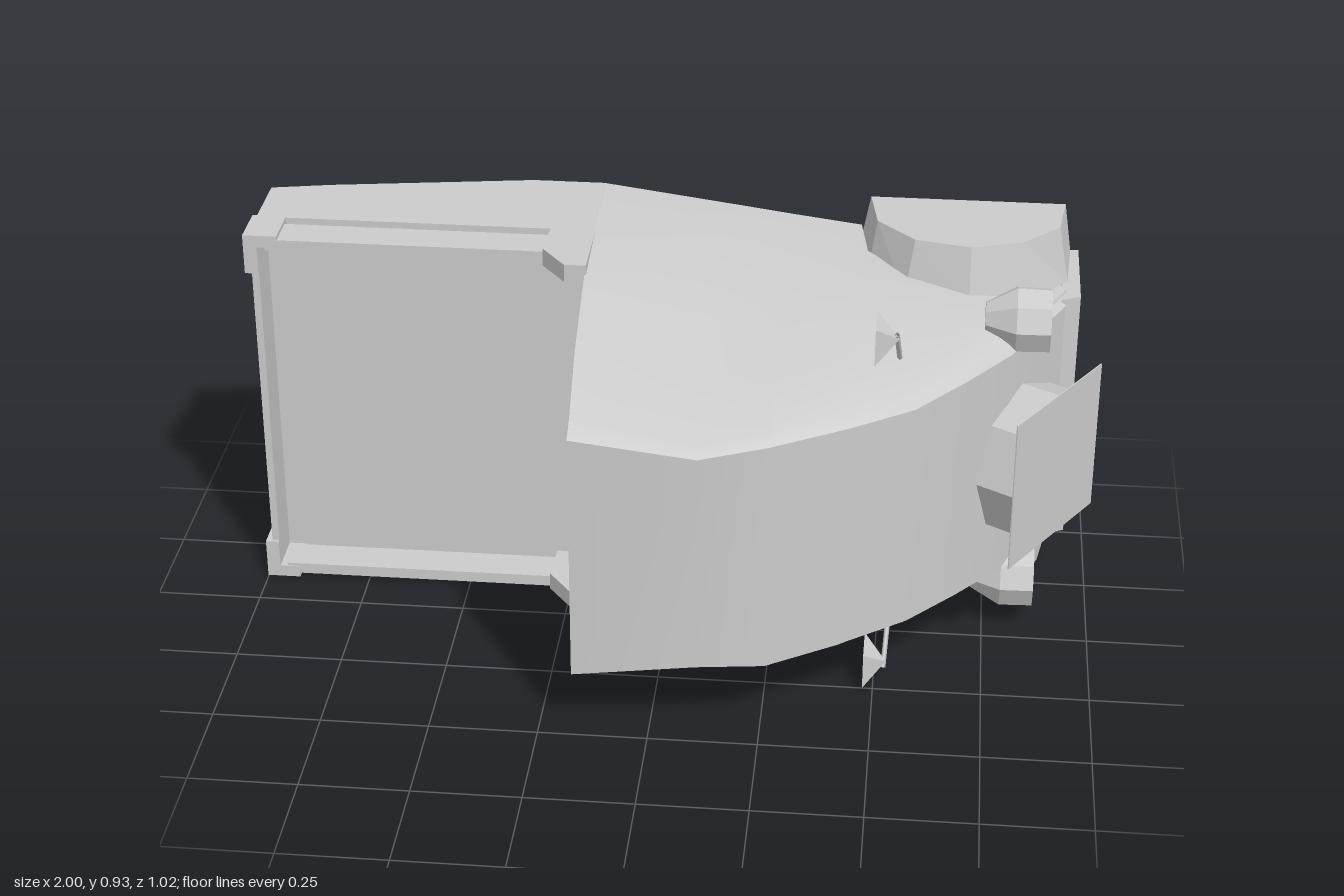
import * as THREE from 'three';
import { toCreasedNormals } from 'three/addons/utils/BufferGeometryUtils.js';

// The vehicle lies on its side: nose toward +x, roof toward +z, width along y.
const C = 0.4665;
const grey = new THREE.MeshStandardMaterial({ color: 0xcccccc, side: THREE.DoubleSide });

function add(parent, name, geometry) {
  const mesh = new THREE.Mesh(geometry, grey);
  mesh.name = name;
  parent.add(mesh);
  return mesh;
}

function box(x0, x1, y0, y1, z0, z1) {
  return new THREE.BoxGeometry(x1 - x0, y1 - y0, z1 - z0)
    .translate((x0 + x1) / 2, (y0 + y1) / 2, (z0 + z1) / 2);
}

// Side profile in x, z extruded across the width
function slab(points, y0, y1) {
  const shape = new THREE.Shape(points.map(p => new THREE.Vector2(p[0], p[1])));
  return new THREE.ExtrudeGeometry(shape, { depth: y1 - y0, bevelEnabled: false })
    .rotateX(Math.PI / 2).translate(0, y1, 0);
}

function fromTriangles(positions, crease) {
  const g = new THREE.BufferGeometry();
  g.setAttribute('position', new THREE.Float32BufferAttribute(positions, 3));
  g.computeVertexNormals();
  return crease ? toCreasedNormals(g, crease) : g;
}

// Cab cross-sections joined along x: [x, z] lists of half-width points
function cabGeometry() {
  const halves = [[
    [-0.2, 0.46, -0.475], [-0.2, 0.46, -0.18], [-0.19, 0.425, 0.06],
    [-0.183, 0.38, 0.25], [-0.17, 0.325, 0.46], [-0.17, 0.3, 0.505],
  ]];
  // x, bottom z, top z, belt half-width, top half-width
  const stations = [
    [0.11, -0.472, 0.502, 0.42, 0.265], [0.26, -0.471, 0.46, 0.4, 0.28],
    [0.42, -0.47, 0.36, 0.38, 0.278], [0.44, -0.33, 0.345, 0.378, 0.277],
    [0.57, -0.22, 0.25, 0.362, 0.275], [0.68, -0.2, 0.12, 0.345, 0.28],
    [0.78, -0.22, -0.01, 0.332, 0.285], [0.84, -0.26, -0.12, 0.323, 0.292],
    [0.905, -0.34, -0.24, 0.315, 0.3],
  ];
  for (const [x, zb, zt, w, wt] of stations) {
    const belt = Math.min(Math.max(-0.18, zb + 0.01), zt - 0.04);
    const shoulder = zt - 0.03, ws = wt + 0.018;
    const mid = t => [x, THREE.MathUtils.lerp(w, ws, t) + 0.008,
      THREE.MathUtils.lerp(belt, shoulder, t)];
    halves.push([[x, w, zb], [x, w, belt], mid(0.37), mid(0.67), [x, ws, shoulder], [x, wt, zt]]);
  }
  const rings = halves.map(h => [
    ...h.map(([x, w, z]) => [x, C + w, z]),
    ...h.slice().reverse().map(([x, w, z]) => [x, C - w, z]),
  ]);
  const out = [], n = rings[0].length, last = rings.length - 1;
  const tri = (...p) => p.forEach(v => out.push(...v));
  for (let s = 0; s < last; s++) {
    for (let i = 0; i < n; i++) {
      const j = (i + 1) % n;
      const a = rings[s][i], b = rings[s][j], c = rings[s + 1][i], d = rings[s + 1][j];
      tri(a, b, c);
      tri(b, d, c);
    }
  }
  const rear = [-0.195, C, -0.1], front = [0.905, C, -0.29];
  for (let i = 0; i < n; i++) {
    const j = (i + 1) % n;
    tri(rear, rings[0][j], rings[0][i]);
    tri(front, rings[last][i], rings[last][j]);
  }
  return fromTriangles(out, 0.42);
}

// Bevelled fender shell, open underneath
function fenderGeometry(side) {
  const outer = [[0.415, -0.47], [0.44, -0.32], [0.53, -0.215], [0.68, -0.18],
    [0.83, -0.23], [0.91, -0.33], [0.92, -0.505]];
  const inner = [[0.44, -0.47], [0.46, -0.335], [0.55, -0.24], [0.68, -0.21],
    [0.8, -0.25], [0.885, -0.34], [0.9, -0.47]];
  const at = (p, w) => [p[0], C + side * w, p[1]];
  const out = [];
  const tri = (a, b, c) => out.push(...a, ...(side > 0 ? [...b, ...c] : [...c, ...b]));
  const hub = at([0.68, -0.47], 0.455);
  for (let i = 0; i < outer.length - 1; i++) {
    const a = at(outer[i], 0.32), b = at(outer[i + 1], 0.32);
    const c = at(inner[i], 0.455), d = at(inner[i + 1], 0.455);
    tri(a, b, c);
    tri(b, d, c);
    tri(hub, c, d);
  }
  return fromTriangles(out);
}

function rod(a, b, radius) {
  const from = new THREE.Vector3(...a), to = new THREE.Vector3(...b);
  return new THREE.TubeGeometry(new THREE.LineCurve3(from, to), 1, radius, 4);
}

export function createModel() {
  const model = new THREE.Group();
  model.name = 'pickupBody';

  add(model, 'cab', cabGeometry());

  // Bed with the rear wheel recess cut from below
  add(model, 'bedFloor', slab([[-0.985, -0.372], [-0.85, -0.4], [-0.85, -0.25], [-0.37, -0.25],
    [-0.37, -0.475], [-0.2, -0.475], [-0.2, -0.207], [-0.985, -0.207]], 0.05, 0.883));
  add(model, 'rearRail', box(-0.985, -0.968, 0.04, 0.893, -0.207, -0.105));

  // Bumper
  add(model, 'bumper', slab([[0.895, -0.24], [0.94, -0.26], [0.94, -0.512], [0.92, -0.512],
    [0.9, -0.47]], 0.15, 0.783));

  for (const side of [1, -1]) {
    const pair = new THREE.Group();
    pair.name = side > 0 ? 'upperSide' : 'lowerSide';
    model.add(pair);
    // Order the two widths so that one call serves both sides
    const span = (w0, w1) => side > 0 ? [C + w0, C + w1] : [C - w1, C - w0];

    // Bed wall, loose rail above a slot, end gusset and corner post
    add(pair, 'bedWall', slab([[-0.99, -0.371], [-0.85, -0.4], [-0.37, -0.475], [-0.195, -0.475],
      [-0.195, -0.207], [-0.99, -0.207]], ...span(0.4165, 0.46)));
    add(pair, 'bedRail', box(-0.95, -0.28, ...span(0.425, 0.452), -0.19, -0.1));
    add(pair, 'railGusset', slab([[-0.295, -0.21], [-0.19, -0.21], [-0.19, -0.02], [-0.24, -0.02],
      [-0.3, -0.1]], ...span(0.4165, 0.46)));
    add(pair, 'cornerPost', box(-1, -0.92, ...span(0.433, 0.462), -0.21, -0.098));
    add(pair, 'postReturn', box(-1, -0.968, ...span(0.365, 0.462), -0.21, -0.098));

    // Inner wheel panels
    add(pair, 'rearWheelPanel', slab([[-0.85, -0.25], [-0.85, -0.395], [-0.62, -0.36],
      [-0.37, -0.47], [-0.37, -0.25]], ...span(0.29, 0.296)));
    add(pair, 'frontWheelPanel', slab([[0.42, -0.46], [0.44, -0.32], [0.55, -0.215], [0.68, -0.19],
      [0.82, -0.235], [0.9, -0.33], [0.9, -0.46], [0.68, -0.33]], ...span(0.25, 0.256)));

    add(pair, 'frontFender', fenderGeometry(side));

    // Octagonal headlight
    const lamp = new THREE.LatheGeometry([[0, 0], [0.038, 0], [0.078, 0.07], [0.076, 0.148],
      [0, 0.148]].map(p => new THREE.Vector2(...p)), 8);
    const light = add(pair, 'headlight', toCreasedNormals(lamp, 0.3));
    light.rotation.z = -Math.PI / 2;
    light.position.set(0.718, C + side * 0.34, -0.085);

    // Pyramid mirror on a thin arm
    const pyramid = new THREE.ConeGeometry(0.0707, 0.052, 4).toNonIndexed();
    pyramid.computeVertexNormals();
    pyramid.rotateY(Math.PI / 4).rotateZ(-Math.PI / 2).scale(1, 0.89, 1);
    add(pair, 'mirror', pyramid).position.set(0.502, C + side * 0.422, 0.2);
    add(pair, 'mirrorArm', rod([0.522, C + side * 0.435, 0.205], [0.53, C + side * 0.32, 0.1], 0.006));
  }

  // Eight-sided drum and square plate, tilted with the windscreen
  const drum = new THREE.Group();
  drum.name = 'noseDrum';
  const body = new THREE.CylinderGeometry(0.184, 0.184, 0.1, 8).rotateZ(-Math.PI / 2);
  add(drum, 'drumBody', toCreasedNormals(body, 0.3)).position.x = -0.05;
  add(drum, 'drumPlate', new THREE.BoxGeometry(0.003, 0.375, 0.375)).position.x = -0.001;
  drum.position.set(0.897, C + 0.002, -0.012);
  drum.rotation.y = -Math.atan2(0.52, 0.85);
  model.add(drum);

  return model;
}
